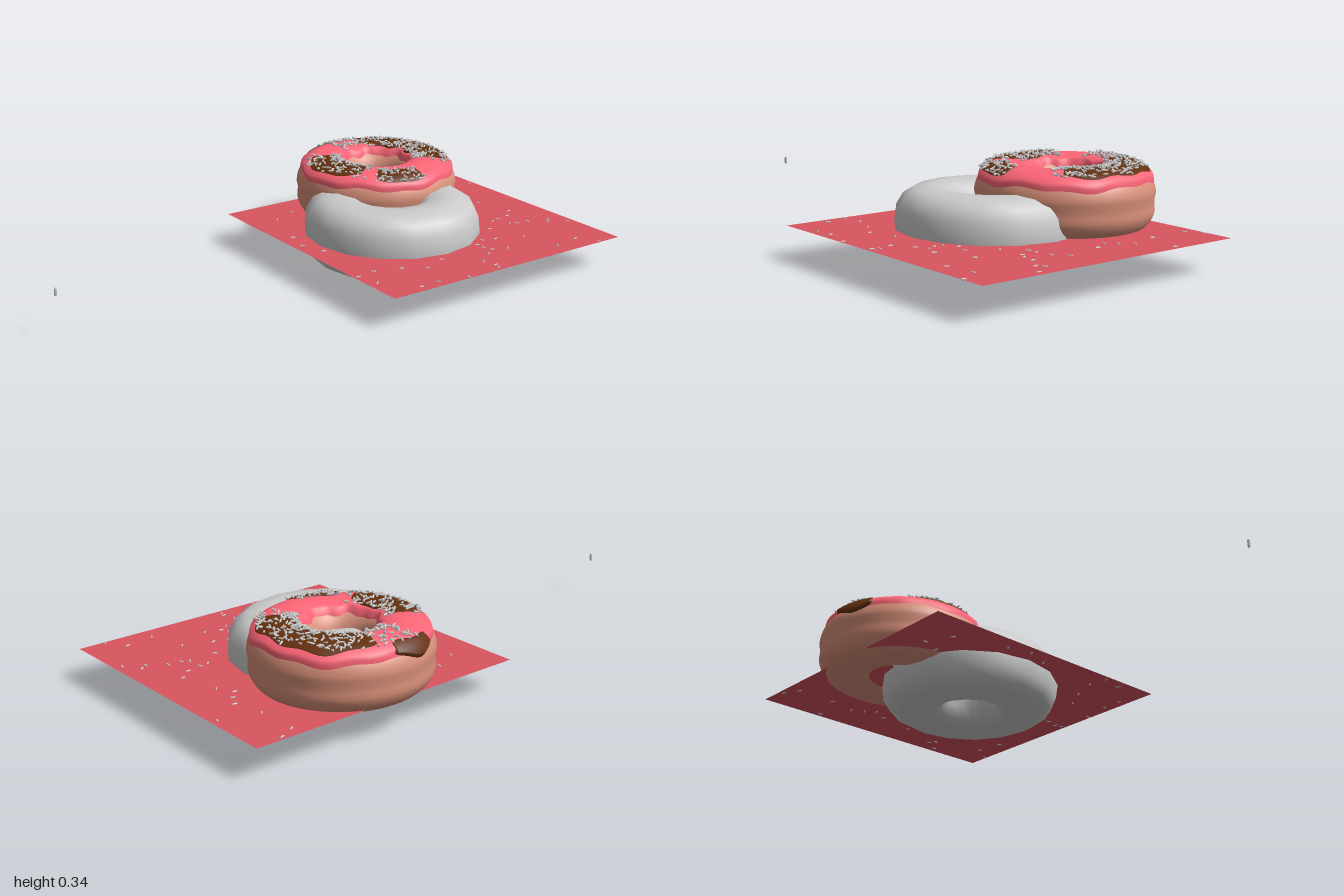
import * as THREE from 'three';
import { mergeGeometries } from 'three/addons/utils/BufferGeometryUtils.js';
import { ParametricGeometry } from 'three/addons/geometries/ParametricGeometry.js';

const DEG = Math.PI / 180;
const material = (color, side = THREE.FrontSide) =>
  new THREE.MeshStandardMaterial({ color, roughness: 0.7, side });

// Seeded random numbers
let seed = 7;
function rand(a = 0, b = 1) {
  seed = (seed * 16807) % 2147483647;
  return a + (b - a) * (seed / 2147483647);
}

// Point on a rounded-square ring section; phi = 0 is outermost, 90 degrees is the top
function section(phi, R, a, b, midY, floor) {
  const soft = (v) => Math.sign(v) * Math.abs(v) ** 0.8;
  const r = R + a * soft(Math.cos(phi));
  const y = Math.max(floor, midY + b * soft(Math.sin(phi)));
  return new THREE.Vector2(r, y);
}

// Upper ring section with a shallow waist on its outer side, t = height above the dough
function dough(phi, t = 0) {
  const p = section(phi, 0.2, 0.112 + t, 0.113 + t, 0.208, 0.09);
  if (Math.cos(phi) > 0) p.x -= 0.008 * Math.exp(-((p.y - 0.2) ** 2) / 0.0003);
  return p;
}

function lathe(sectionAt, steps, sides) {
  const points = [];
  for (let i = 0; i <= steps; i++) points.push(sectionAt(-Math.PI + (i / steps) * 2 * Math.PI));
  return new THREE.LatheGeometry(points, sides);
}

// Thin glaze between two angles around the ring, with wavy edges
function glaze(from, to, inner, outer, thick, wave, closed, nu) {
  const span = to - from;
  return new ParametricGeometry((u, v, target) => {
    const th = (from + u * span) * DEG;
    const end = closed ? 1 : Math.sin(Math.PI * u) ** 0.35;
    const mid = (inner + outer) / 2;
    const hi = mid + (inner - mid) * end + wave * end * (Math.sin(7 * th) + 0.6 * Math.sin(12 * th + 1));
    const lo = mid + (outer - mid) * end + wave * end * (Math.sin(5 * th + 2) + 0.7 * Math.sin(11 * th));
    const t = thick * Math.min(1, 8 * v, 8 * (1 - v)) * (closed ? 1 : Math.min(1, 10 * u, 10 * (1 - u)));
    const p = dough((hi + (lo - hi) * v) * DEG, t);
    target.set(p.x * Math.cos(th), p.y, p.x * Math.sin(th));
  }, nu, 16);
}

// Small capsule, placed with its length along dir
function sprinkle(pos, dir, radius = 0.0035, length = 0.012) {
  const g = new THREE.CapsuleGeometry(radius, length, 2, 6);
  g.applyQuaternion(new THREE.Quaternion().setFromUnitVectors(new THREE.Vector3(0, 1, 0), dir.normalize()));
  return g.translate(pos.x, pos.y, pos.z);
}

export function createModel() {
  const model = new THREE.Group();
  const add = (parent, name, geometry, mat) => {
    const mesh = new THREE.Mesh(geometry, mat);
    mesh.name = name;
    parent.add(mesh);
    return mesh;
  };
  const grey = material(0xcccccc);

  // Flat square sheet
  const sheet = add(model, 'sheet', new THREE.PlaneGeometry(1.05, 1.05), material(0xd9545f, THREE.DoubleSide));
  sheet.rotation.x = -Math.PI / 2;
  sheet.position.set(0.475, 0.117, 0.025);

  // Plain lower doughnut
  const plain = add(model, 'plainDoughnut',
    lathe((phi) => section(phi, 0.205, 0.127, 0.132, 0.125, 0.003), 16, 16), grey);
  plain.position.set(0.367, 0, -0.005);

  // Glazed upper doughnut
  const glazed = new THREE.Group();
  glazed.name = 'glazedDoughnut';
  glazed.position.set(0.475, 0, -0.245);
  model.add(glazed);
  add(glazed, 'dough', lathe((phi) => dough(phi), 48, 64), material(0xd9907a));
  add(glazed, 'pinkIcing', glaze(0, 360, 134, 32, 0.011, 3.5, true, 128), material(0xff6678, THREE.DoubleSide));

  // Chocolate patches: [from, to, inner edge, outer edge] in degrees
  const brown = material(0x64300f, THREE.DoubleSide);
  const patches = [[-88, 55, 122, 46], [-122, -84, 66, 28], [133, 217, 120, 50], [84, 130, 92, 45]];
  patches.forEach(([a, b, i, o]) =>
    add(glazed, 'chocolatePatch', glaze(a, b, i, o, 0.014, 5, false, 48), brown));

  // Sprinkles scattered over the icing: [from, to, inner, outer, count]
  const bands = [[-110, 55, 112, 58, 260], [135, 215, 112, 55, 120], [88, 128, 90, 48, 60]];
  const topping = [];
  for (const [a, b, inner, outer, count] of bands) {
    for (let k = 0; k < count; k++) {
      const th = rand(a, b) * DEG;
      const p = dough(rand(outer, inner) * DEG, 0.016);
      topping.push(sprinkle(
        new THREE.Vector3(p.x * Math.cos(th), p.y, p.x * Math.sin(th)),
        new THREE.Vector3(rand(-1, 1), rand(-0.45, 0.45), rand(-1, 1))));
    }
  }
  add(glazed, 'toppingSprinkles', mergeGeometries(topping), grey);

  // Loose sprinkles lying on the sheet
  const loose = [];
  for (let k = 0; k < 75; k++) {
    const pos = new THREE.Vector3(rand(-0.04, 0.98), 0.117, rand(-0.49, 0.55));
    const turn = rand(0, Math.PI);
    loose.push(sprinkle(pos, new THREE.Vector3(Math.cos(turn), 0, Math.sin(turn))));
  }
  add(model, 'looseSprinkles', mergeGeometries(loose), grey);

  // Single upright sprinkle set far apart
  add(model, 'singleSprinkle',
    sprinkle(new THREE.Vector3(-0.995, 0.17, -0.025), new THREE.Vector3(0, 1, 0), 0.005, 0.02), grey);

  return model;
}
